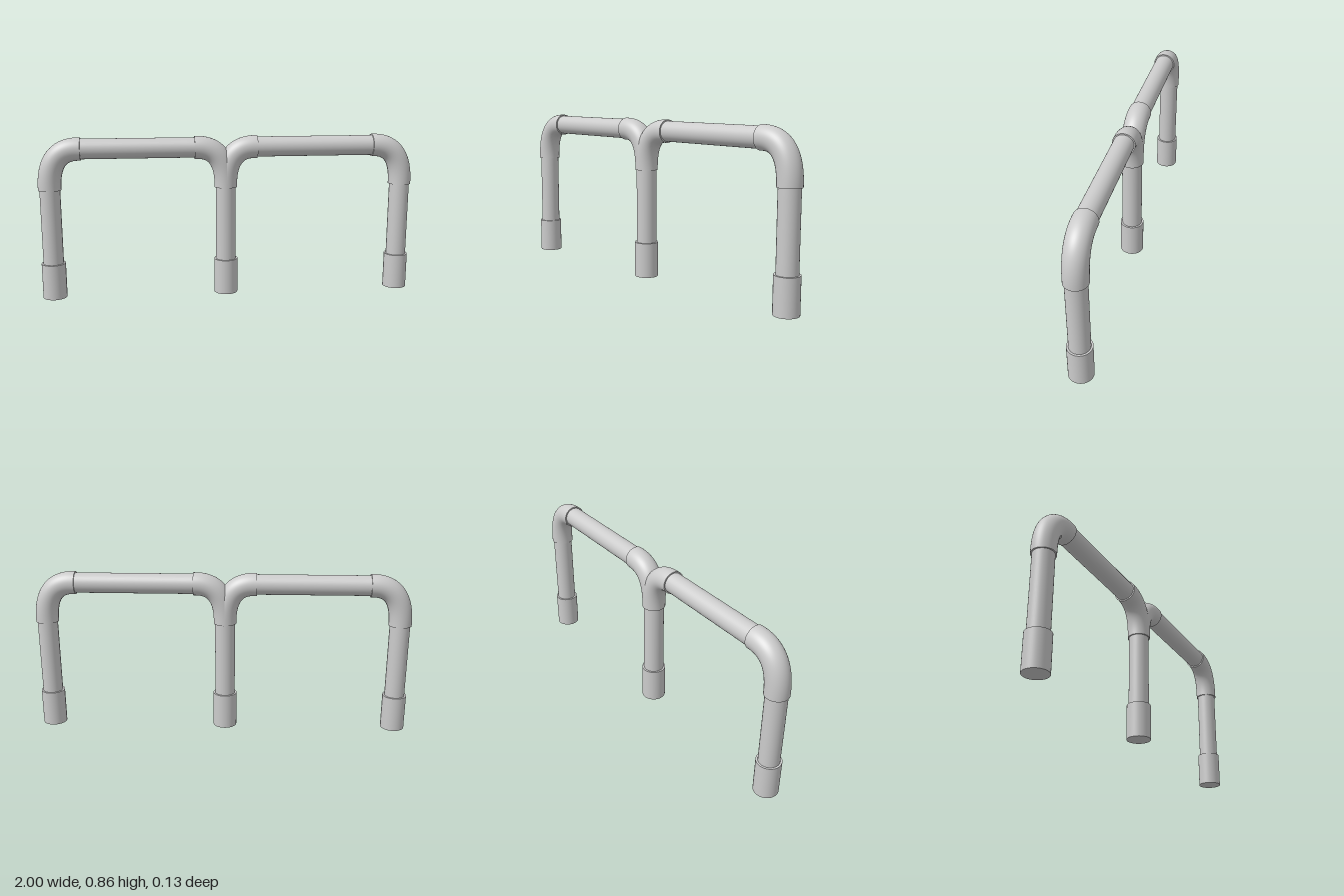
import * as THREE from 'three';

export function createModel() {
  const model = new THREE.Group();
  const material = new THREE.MeshStandardMaterial({ color: 0xcccccc });
  const SIDES = 48;
  const RAIL_Y = 0.795, ELBOW_Y = 0.583, REACH = 0.166;
  const PIPE_R = 0.053, ELBOW_R = 0.06, SLEEVE_R = 0.063;

  const add = (parent, name, geometry, x = 0, y = 0) => {
    const mesh = new THREE.Mesh(geometry, material);
    mesh.name = name;
    mesh.position.set(x, y, 0);
    parent.add(mesh);
    return mesh;
  };

  // Elbow bending from vertical to horizontal, with closed ends
  const addElbow = (name, x, dir) => {
    const group = new THREE.Group();
    group.name = name;
    group.position.set(x, 0, 0);
    const v = (px, py) => new THREE.Vector3(px * dir, py, 0);
    const path = new THREE.CurvePath();
    path.add(new THREE.LineCurve3(v(0, ELBOW_Y), v(0, ELBOW_Y + 0.01)));
    path.add(new THREE.QuadraticBezierCurve3(
      v(0, ELBOW_Y + 0.01), v(0, RAIL_Y), v(REACH - 0.012, RAIL_Y)));
    path.add(new THREE.LineCurve3(v(REACH - 0.012, RAIL_Y), v(REACH, RAIL_Y)));
    add(group, 'elbowBend', new THREE.TubeGeometry(path, 40, ELBOW_R, SIDES));
    const cap = new THREE.CircleGeometry(ELBOW_R, SIDES);
    add(group, 'elbowLowerEnd', cap, 0, ELBOW_Y).rotation.x = Math.PI / 2;
    add(group, 'elbowRailEnd', cap, dir * REACH, RAIL_Y).rotation.y = dir * Math.PI / 2;
    model.add(group);
  };

  // Legs standing in wider foot sleeves
  const legs = { right: -0.937, middle: -0.016, left: 0.937 };
  for (const [side, x] of Object.entries(legs)) {
    add(model, side + 'Leg', new THREE.CylinderGeometry(PIPE_R, PIPE_R, 0.44, SIDES), x, 0.38);
    add(model, side + 'FootSleeve',
      new THREE.CylinderGeometry(SLEEVE_R, SLEEVE_R, 0.188, SIDES), x, 0.094);
  }

  // Each span: two elbows facing one another and a rail between them
  const addSpan = (name, x0, x1) => {
    addElbow(name + 'OuterElbowA', x0, 1);
    addElbow(name + 'OuterElbowB', x1, -1);
    const length = x1 - x0 - 2 * REACH + 0.02;
    add(model, name + 'Rail', new THREE.CylinderGeometry(PIPE_R, PIPE_R, length, SIDES),
      (x0 + x1) / 2, RAIL_Y).rotation.z = Math.PI / 2;
  };
  addSpan('right', legs.right, legs.middle);
  addSpan('left', legs.middle, legs.left);

  return model;
}
